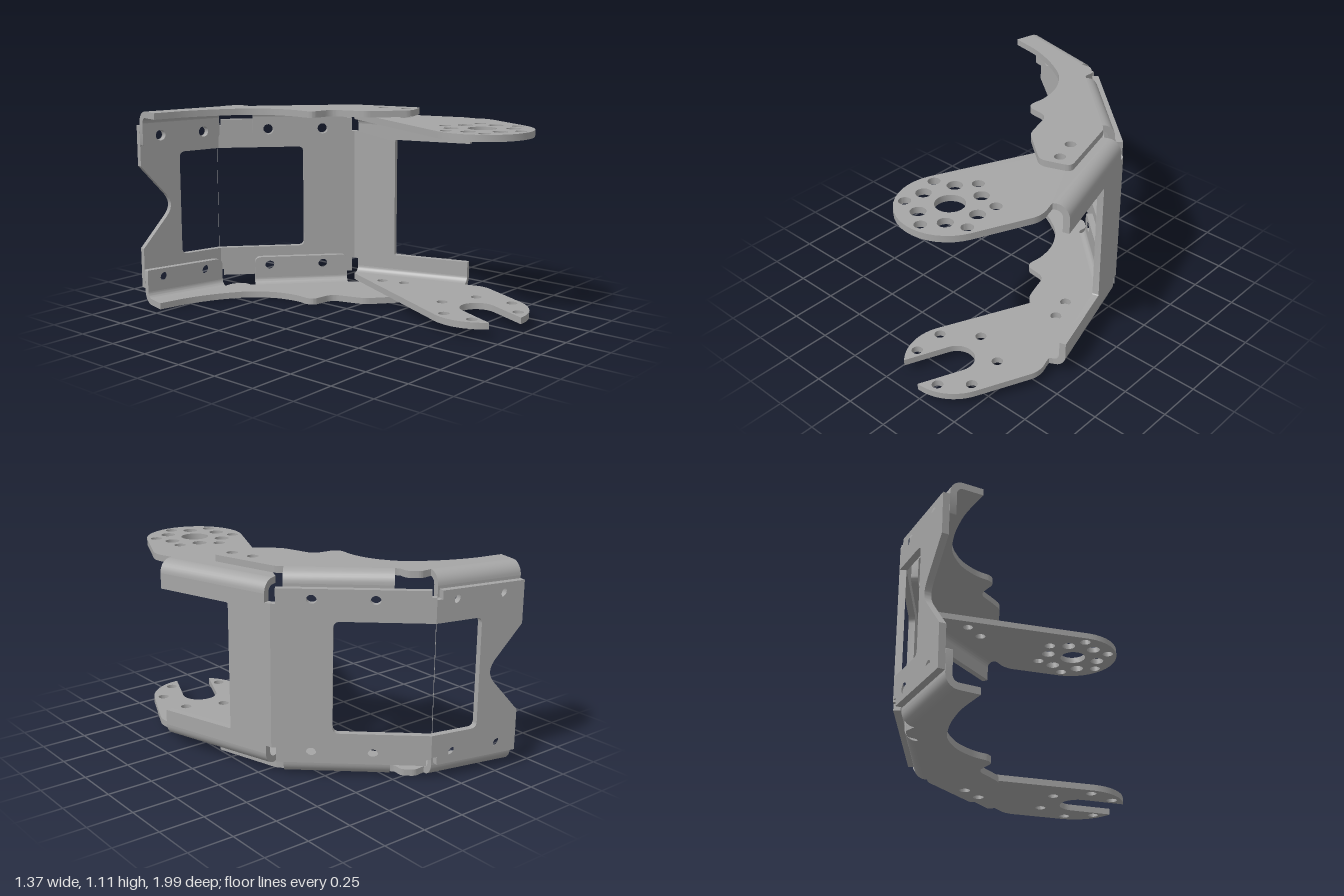
import * as THREE from 'three';
import { toCreasedNormals } from 'three/addons/utils/BufferGeometryUtils.js';

const H = 1.105;   // overall height
const T = 0.036;   // sheet thickness
const R = 0.07;    // outer bend radius
const RIM = 0.05;  // distance of the arms from the top and bottom
const HUB = [0.24, 0.72];
const rad = THREE.MathUtils.degToRad;

// a folded panel: outer face runs from p to q, n points inward
function fold(p, q) {
  const d = new THREE.Vector2(q[0] - p[0], q[1] - p[1]);
  const len = d.length();
  d.normalize();
  return {
    p, d, len, n: new THREE.Vector2(-d.y, d.x),
    at(u, w, r = 0) { return [p[0] + d.x * u - d.y * w, p[1] + d.y * u + d.x * w, r]; },
  };
}
const A = fold([-0.64, -1.0], [-0.14, -0.885]);
const B = fold([-0.14, -0.885], [0.475, -0.335]);
const C = fold([0.475, -0.335], [0.685, 0.36]);

// closed outline from [x, y, cornerRadius] points
function outline(pts) {
  const s = new THREE.Shape();
  pts.forEach(([x, y, r = 0], i) => {
    const v = new THREE.Vector2(x, y);
    const toward = (o) => {
      const e = new THREE.Vector2(o[0], o[1]).sub(v);
      const l = e.length();
      return e.multiplyScalar(Math.min(r, l * 0.49) / l).add(v);
    };
    const a = toward(pts[(i + pts.length - 1) % pts.length]);
    const b = toward(pts[(i + 1) % pts.length]);
    if (i === 0) s.moveTo(a.x, a.y); else s.lineTo(a.x, a.y);
    if (r) s.quadraticCurveTo(x, y, b.x, b.y);
  });
  s.closePath();
  return s;
}

function drill(shape, x, y, r) {
  const h = new THREE.Path();
  h.absarc(x, y, r, 0, Math.PI * 2, true);
  shape.holes.push(h);
}

function extrude(shape, depth) {
  return new THREE.ExtrudeGeometry(shape, { depth, bevelEnabled: false, curveSegments: 10 });
}

export function createModel() {
  const model = new THREE.Group();
  const steel = new THREE.MeshStandardMaterial({ color: 0xa6a6a6 });
  steel.name = 'steel';

  function add(name, geo) {
    const mesh = new THREE.Mesh(toCreasedNormals(geo, 0.5), steel);
    mesh.name = name;
    model.add(mesh);
  }
  // upright sheet drawn in (u, y) on a fold, w inward from its outer face
  function upright(name, f, shape, w = 0) {
    const geo = extrude(shape, T);
    const [x, z] = f.at(0, w);
    geo.applyMatrix4(new THREE.Matrix4().makeBasis(
      new THREE.Vector3(f.d.x, 0, f.d.y), new THREE.Vector3(0, 1, 0),
      new THREE.Vector3(f.n.x, 0, f.n.y)).setPosition(x, 0, z));
    add(name, geo);
  }
  // horizontal sheet drawn in (x, z)
  function flat(name, shape, top) {
    add(name, extrude(shape, T).rotateX(Math.PI / 2).translate(0, top, 0));
  }
  // quarter-round bend joining an upright sheet to a flat one
  function bend(name, f, u0, u1, w, yTop, flip) {
    const pts = [];
    for (const [r, back] of [[R, false], [R - T, true]]) {
      for (let i = 0; i <= 8; i++) {
        const t = (back ? 8 - i : i) / 8 * Math.PI / 2;
        const y = yTop - R + r * Math.sin(t);
        pts.push([R - r * Math.cos(t), flip ? H - y : y]);
      }
    }
    const geo = extrude(outline(pts), u1 - u0);
    const [x, z] = f.at(u1, w);
    geo.applyMatrix4(new THREE.Matrix4().makeBasis(
      new THREE.Vector3(f.n.x, 0, f.n.y), new THREE.Vector3(0, 1, 0),
      new THREE.Vector3(-f.d.x, 0, -f.d.y)).setPosition(x, 0, z));
    add(name, geo);
  }
  // upper half of an edge list, completed by its mirror image
  const mirrored = (pts) => outline([...pts, ...pts.slice().reverse().map(([u, y, r]) => [u, H - y, r])]);

  // --- main sheet: three folded panels, window across the first two ---
  const holesA = [0.11, 0.385], holesB = [0.30, 0.62], holeY = 0.963;
  const panelA = mirrored([
    [0.18, 0.585, 0.05], [0, 0.79], [0, 1.02], [0.48, 1.02], [0.48, 0.975], [A.len, 0.975],
    [A.len, 0.853], [0.246, 0.853, 0.035]]);
  const panelB = mirrored([
    [0, 0.853], [0, 0.985], [0.025, 0.985], [0.025, 1.02], [0.8, 1.02], [0.8, 0.94],
    [B.len, 0.94], [B.len, 0.6]]);
  // reopen the window in the middle panel
  const windowB = new THREE.Path();
  windowB.setFromPoints(outline([[0.001, 0.252], [0.51, 0.252, 0.035], [0.51, 0.853, 0.035], [0.001, 0.853]]).getPoints(6));
  panelB.holes.push(windowB);
  for (const y of [holeY, H - holeY]) {
    holesA.forEach((u) => drill(panelA, u, y, 0.027));
    holesB.forEach((u) => drill(panelB, u, y, 0.027));
  }
  upright('endPanel', A, panelA);
  upright('windowPanel', B, panelB);
  const armTop = H - RIM;
  upright('armPanel', C, mirrored([
    [0, 0.94], [0.035, 0.94], [0.035, armTop - R], [C.len, armTop - R], [C.len, 0.9],
    [0.27, 0.9, 0.01]]));

  // --- arms ---
  const [hx, hz] = HUB, armR = 0.272, slotR = 0.1;
  function arm(fork) {
    const s = new THREE.Shape();
    const start = C.at(0.035, R), end = C.at(C.len, R);
    s.moveTo(0.39, -0.27);
    s.lineTo(start[0], start[1]);
    s.lineTo(end[0], end[1]);
    s.lineTo(0.6, 0.39);
    s.quadraticCurveTo(0.608, 0.425, 0.618, 0.45);
    s.quadraticCurveTo(0.632, 0.5, 0.615, 0.545);
    if (fork) {
      const open = Math.asin(slotR / armR);
      s.absarc(hx, hz, armR, rad(23), rad(113) - open, false);
      s.absarc(hx, hz, slotR, rad(23), rad(-157), true);
      s.absarc(hx, hz, armR, rad(113) + open, rad(203), false);
    } else {
      s.absarc(hx, hz, armR, rad(23), rad(203), false);
    }
    s.closePath();
    const ring = (deg, r, size) => drill(s, hx + r * Math.cos(rad(deg)), hz + r * Math.sin(rad(deg)), size);
    if (fork) {
      [24, -36, -97, 202, 71, 155].forEach((a) => ring(a, 0.218, 0.03));
    } else {
      for (let i = 0; i < 6; i++) {
        ring(24 + i * 60, 0.22, 0.032);
        ring(-7 + i * 60, 0.163, 0.04);
      }
      drill(s, hx, hz, 0.077);
    }
    rivets(s);
    return s;
  }
  function rivets(s) {
    drill(s, 0.36, -0.03, 0.03);
    drill(s, 0.40, 0.10, 0.03);
  }
  flat('upperArm', arm(false), armTop);
  flat('lowerForkArm', arm(true), RIM + T);

  // --- curved side plates with two bent flanges each ---
  const W = T + 0.001;
  const plate = outline([
    A.at(0, 0.216), A.at(0, W + R), A.at(0.49, W + R), [-0.12, -0.79, 0.02], [-0.066, -0.74, 0.02],
    [-0.072, -0.685, 0.01], B.at(0.21, W + R), B.at(0.765, W + R),
    [0.39, -0.26, 0.01], [0.50, 0.13, 0.035], [0.34, 0.19, 0.04], [0.135, 0.025, 0.03],
    [0.11, -0.05, 0.03], [0.075, -0.175, 0.05], [-0.06, -0.19, 0.03], [-0.078, -0.23, 0.02],
    [-0.066, -0.315, 0.05], [-0.09, -0.45, 0.07], [-0.18, -0.59, 0.07],
    [-0.34, -0.69, 0.07], [-0.5, -0.755, 0.07]]);
  rivets(plate);

  for (const flip of [false, true]) {
    const side = flip ? 'lower' : 'upper';
    const my = (y) => (flip ? H - y : y);
    flat(side + 'SidePlate', plate, flip ? T : H);
    bend(side + 'ArmBend', C, 0.035, C.len, 0, armTop, flip);
    for (const [name, f, u0, u1, holes, r0] of [
      ['End', A, 0, 0.49, holesA, 0.008], ['Window', B, 0.21, 0.765, holesB, 0.04]]) {
      const flange = outline([
        [u0, my(H - R)], [u0, my(0.91), r0], [u1, my(0.91), 0.04], [u1, my(H - R)]]);
      holes.forEach((u) => drill(flange, u, my(holeY), 0.03));
      upright(side + name + 'Flange', f, flange, W);
      bend(side + name + 'Bend', f, u0, u1, W, H, flip);
    }
  }
  return model;
}
